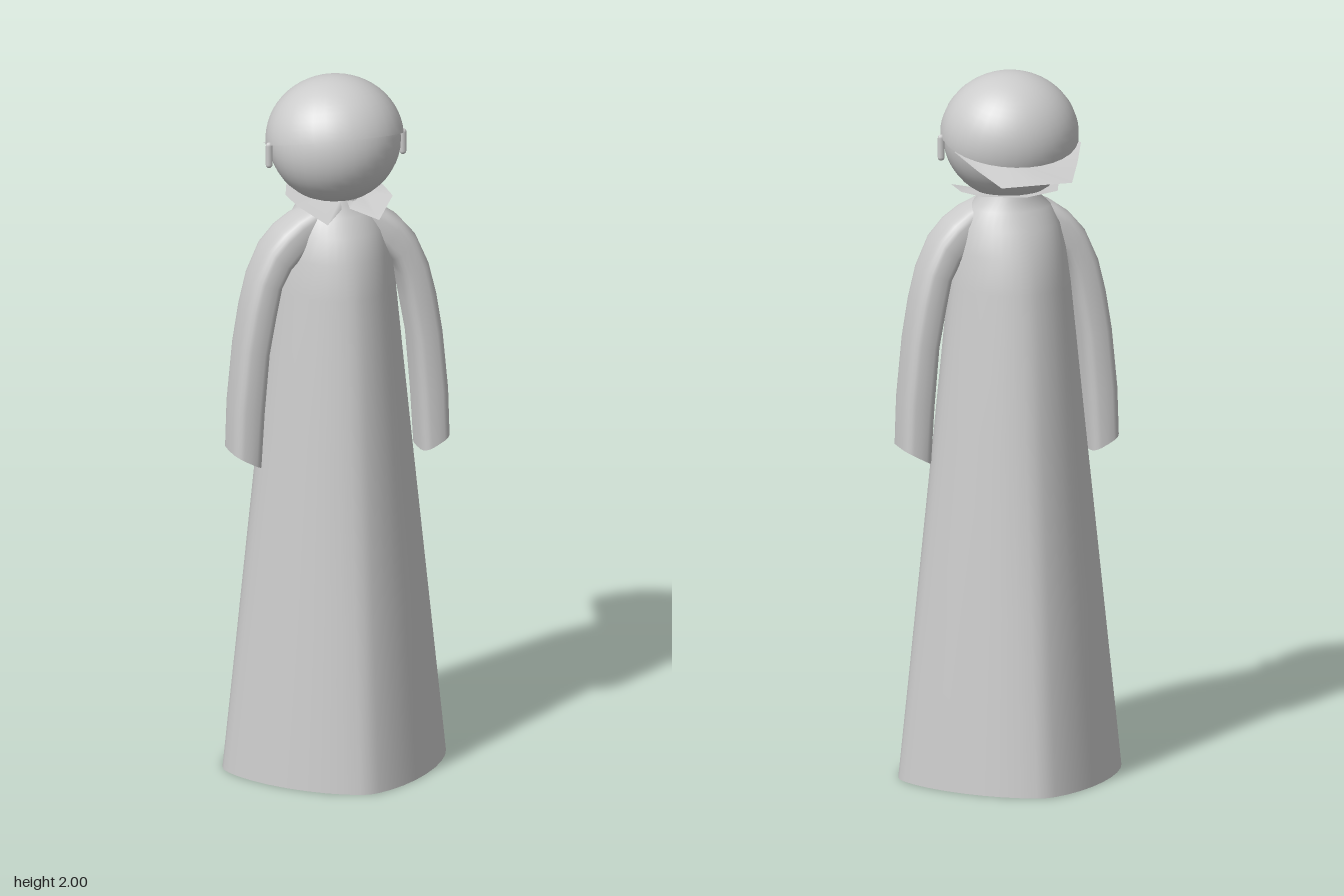
import * as THREE from 'three';
import { mergeGeometries } from 'three/addons/utils/BufferGeometryUtils.js';

const grey = new THREE.MeshStandardMaterial({ color: 0xcccccc, side: THREE.DoubleSide });

// Skin a list of cross-sections (arrays of [x, y, z]) into one smooth surface.
function loft(rings, closed = true) {
  const n = rings[0].length;
  const index = [];
  for (let i = 0; i < rings.length - 1; i++) {
    for (let j = 0; j < (closed ? n : n - 1); j++) {
      const k = (j + 1) % n;
      const a = i * n + j, b = i * n + k, c = (i + 1) * n + k, d = (i + 1) * n + j;
      index.push(a, b, c, a, c, d);
    }
  }
  const geometry = new THREE.BufferGeometry();
  geometry.setAttribute('position', new THREE.Float32BufferAttribute(rings.flat(2), 3));
  geometry.setIndex(index);
  geometry.computeVertexNormals();
  return geometry;
}

// Unit superellipse: p below 2 is diamond-like, above 2 is boxy.
function superellipse(n, p) {
  const bend = (v) => Math.sign(v) * Math.abs(v) ** (2 / p);
  return Array.from({ length: n }, (_, i) => {
    const t = (i / n) * Math.PI * 2;
    return [bend(Math.cos(t)), bend(Math.sin(t))];
  });
}

export function createModel() {
  const model = new THREE.Group();
  const add = (name, geometry) => {
    const mesh = new THREE.Mesh(geometry, grey);
    mesh.name = name;
    model.add(mesh);
    return mesh;
  };

  // Robe, open at the hem: y, half width, front depth, back depth, roundness
  const robeRows = [
    [0, 0.322, 0.327, 0.327, 1.5],
    [0.5, 0.268, 0.277, 0.272, 1.58],
    [1, 0.214, 0.227, 0.217, 1.68],
    [1.4, 0.172, 0.187, 0.172, 1.8],
    [1.5, 0.158, 0.17, 0.148, 1.85],
    [1.57, 0.142, 0.143, 0.12, 1.9],
    [1.62, 0.115, 0.108, 0.092, 2],
    [1.65, 0.085, 0.092, 0.082, 2],
    [1.69, 0.075, 0.078, 0.075, 2],
  ];
  add('robe', loft(robeRows.map(([y, w, front, back, p]) =>
    superellipse(40, p).map(([c, s]) => [c * w, y, -s * (s < 0 ? front : back)]))));

  // Sleeves: outer x, outer y, inner x, inner y, half depth, from cuff to shoulder
  const armRows = [
    [0.316, 0.945, 0.232, 0.9, 0.07],
    [0.312, 1.08, 0.222, 1.06, 0.07],
    [0.295, 1.25, 0.208, 1.23, 0.072],
    [0.277, 1.36, 0.188, 1.34, 0.073],
    [0.255, 1.45, 0.172, 1.42, 0.073],
    [0.218, 1.535, 0.145, 1.47, 0.072],
    [0.175, 1.585, 0.115, 1.5, 0.07],
    [0.13, 1.617, 0.085, 1.53, 0.066],
    [0.07, 1.645, 0.04, 1.56, 0.055],
  ];
  for (const [name, side] of [['leftArm', 1], ['rightArm', -1]]) {
    const rings = armRows.map(([xo, yo, xi, yi, depth]) =>
      superellipse(24, 3.2).map(([c, s]) => [
        side * ((xo + xi) / 2 + (c * (xo - xi)) / 2),
        (yo + yi) / 2 + (c * (yo - yi)) / 2,
        0.028 - side * s * depth,
      ]));
    const cuff = [rings[0].map(() => [side * 0.274, 0.9225, 0.028]), rings[0]];
    add(name, mergeGeometries([loft(rings), loft(cuff)]));
  }

  // Head
  const head = add('head', new THREE.SphereGeometry(0.178, 32, 24));
  head.position.set(0, 1.82, 0.004);
  head.scale.x = 1.04;

  // Cap crown, tipped so that it sits low at the back
  const tilt = 0.29;
  const crown = add('capCrown',
    new THREE.SphereGeometry(0.183, 32, 14, 0, Math.PI * 2, 0, Math.PI / 2).rotateX(-tilt));
  crown.position.set(0, 1.82, 0.004);
  crown.scale.set(1.06, 0.985, 1);

  // Cap brim, pointing backwards: edge of the crown joined to a faceted outline
  const brimOuter = [
    [-0.185, 1.802, -0.07], [-0.145, 1.768, -0.16], [-0.1, 1.735, -0.248], [0, 1.742, -0.272],
    [0.105, 1.735, -0.248], [0.148, 1.768, -0.16], [0.185, 1.802, -0.07],
  ];
  const brimInner = brimOuter.map((_, i) => {
    const t = ((i - 3) / 3) * 1.2;
    const r = 0.182 * Math.cos(t);
    return [0.19 * Math.sin(t), 1.82 - r * Math.sin(tilt), 0.004 - r * Math.cos(tilt)];
  });
  add('capBrim', loft([brimOuter, brimInner], false));

  // Ears
  for (const [name, side] of [['leftEar', 1], ['rightEar', -1]]) {
    const ear = add(name, new THREE.CapsuleGeometry(0.01, 0.055, 4, 10));
    ear.position.set(side * 0.195, 1.795, 0.017);
    ear.scale.z = 0.8;
  }

  // Collar: two mirrored flaps with points at the front
  const collarEdge = [
    [0.012, 1.645, 0.105], [0.075, 1.628, 0.175], [0.14, 1.667, 0.095],
    [0.142, 1.668, 0], [0.11, 1.673, -0.09], [0, 1.676, -0.147],
  ];
  for (const [name, side] of [['leftCollar', 1], ['rightCollar', -1]]) {
    const outer = collarEdge.map(([x, y, z]) => [side * x, y, z]);
    const inner = collarEdge.map((_, i) => {
      const t = 0.1 + (i / 5) * (Math.PI - 0.1);
      return [side * 0.08 * Math.sin(t), 1.668, 0.083 * Math.cos(t)];
    });
    add(name, loft(side > 0 ? [outer, inner] : [inner, outer], false));
  }

  return model;
}
